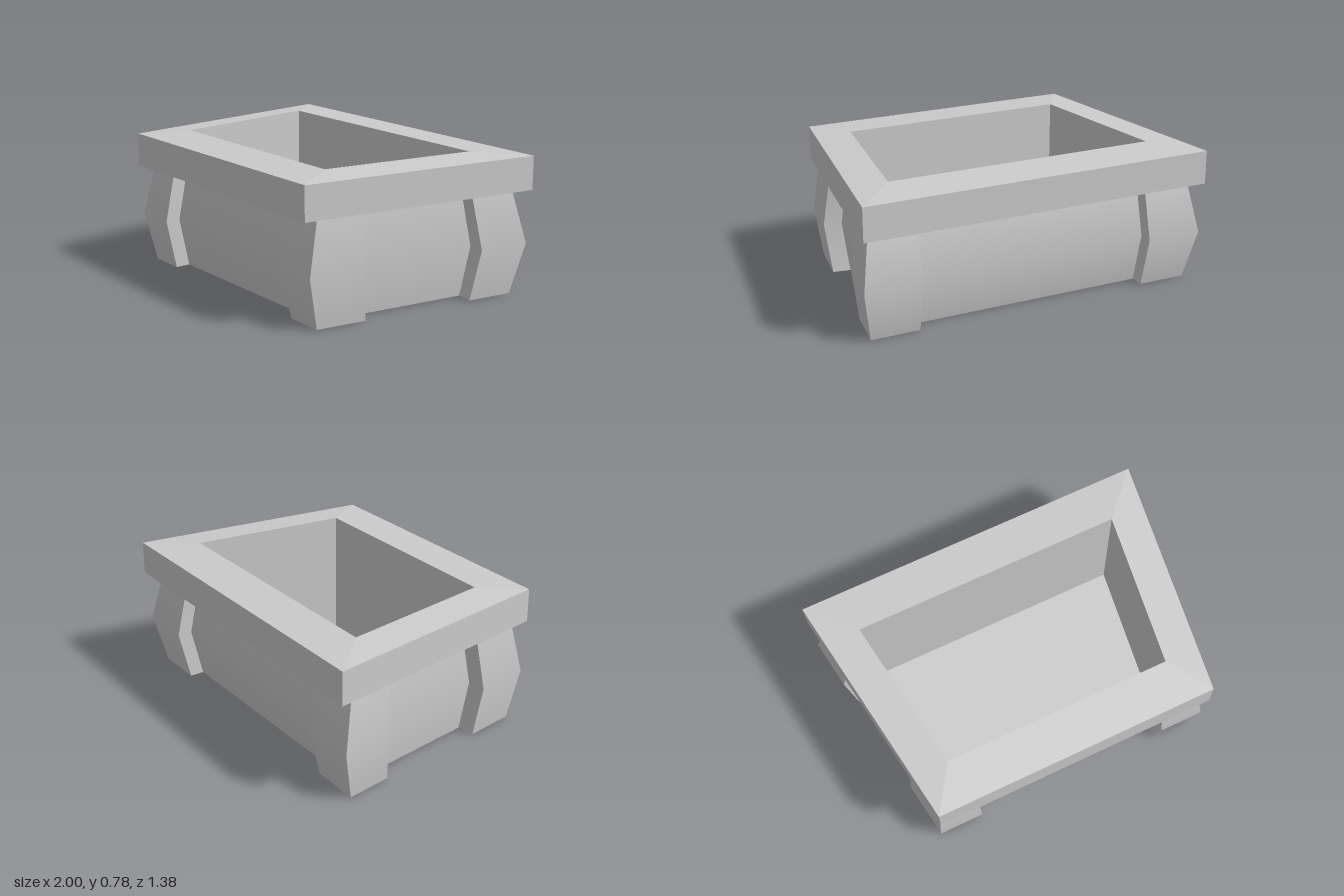
import * as THREE from 'three';
import { toCreasedNormals } from 'three/addons/utils/BufferGeometryUtils.js';

const material = new THREE.MeshStandardMaterial({ color: 0xcccccc });

// Skin a stack of rings, each { y, pts: [[x, z], ...] } running counter-clockwise
// seen from above. Caps fan out from the first point of a ring.
function loft(name, rings, { bottom = false, top = false, crease = 0.7 } = {}) {
  const pos = [];
  const tri = (a, b, c) => pos.push(...a, ...b, ...c);
  const r = rings.map(({ y, pts }) => pts.map(([x, z]) => [x, y, z]));
  const n = r[0].length, last = r[r.length - 1];
  for (let k = 0; k < r.length - 1; k++) {
    for (let i = 0; i < n; i++) {
      const j = (i + 1) % n;
      const [a, b, c, d] = [r[k][i], r[k][j], r[k + 1][j], r[k + 1][i]];
      // Alternate the diagonal so shading stays even across the bulge
      if (k % 2) { tri(a, b, d); tri(b, c, d); } else { tri(a, b, c); tri(a, c, d); }
    }
  }
  for (let i = 1; i < n - 1; i++) {
    if (bottom) tri(r[0][0], r[0][i + 1], r[0][i]);
    if (top) tri(last[0], last[i], last[i + 1]);
  }
  const g = new THREE.BufferGeometry();
  g.setAttribute('position', new THREE.Float32BufferAttribute(pos, 3));
  const mesh = new THREE.Mesh(toCreasedNormals(g, crease), material);
  mesh.name = name;
  return mesh;
}

// Trapezoid ring, wider at the back than at the front
const trap = (y, front, zFront, back, zBack) => ({
  y,
  pts: [[-front, zFront], [front, zFront], [back, zBack], [-back, zBack]],
});

export function createModel() {
  const group = new THREE.Group();
  const TOP = 0.565, MID = 0.283, FLOOR = 0.02, LIP = 0.78;
  const waist = (y) => trap(y, 0.695, 0.512, 0.835, -0.513);
  const opening = (y) => trap(y, 0.642, 0.441, 0.766, -0.438);

  // Bulging outer wall with the underside
  group.add(loft('tub', [
    waist(0),
    trap(MID, 0.72, 0.574, 0.88, -0.576),
    waist(TOP),
  ], { bottom: true }));

  // Heavy rim, slightly sloped on top and underneath
  group.add(loft('rim', [
    waist(TOP),
    trap(0.576, 0.805, 0.6875, 1, -0.6875),
    trap(0.764, 0.805, 0.6875, 1, -0.6875),
    opening(LIP),
  ], { crease: 0.03 }));

  // Straight inner walls and floor
  group.add(loft('inside', [opening(LIP), opening(FLOOR)], { top: true }));

  // L-shaped corner posts, outer corner first: outline at the ends and at the bulge
  const posts = {
    front: {
      end: [[0.782, 0.597], [0.823, 0.315], [0.69, 0.295], [0.665, 0.48], [0.565, 0.48], [0.565, 0.597]],
      mid: [[0.81, 0.66], [0.855, 0.35], [0.71, 0.33], [0.68, 0.53], [0.56, 0.53], [0.56, 0.66]],
    },
    back: {
      end: [[0.945, -0.595], [0.67, -0.595], [0.67, -0.49], [0.8, -0.49], [0.785, -0.353], [0.908, -0.335]],
      mid: [[0.995, -0.66], [0.675, -0.66], [0.675, -0.53], [0.83, -0.53], [0.8, -0.39], [0.955, -0.37]],
    },
  };
  const mirror = (pts) => {
    const [corner, ...rest] = pts.map(([x, z]) => [-x, z]);
    return [corner, ...rest.reverse()];
  };
  for (const [place, { end, mid }] of Object.entries(posts)) {
    for (const side of ['Left', 'Right']) {
      const [e, m] = side === 'Left' ? [end, mid] : [mirror(end), mirror(mid)];
      group.add(loft(place + side + 'Post', [
        { y: 0, pts: e },
        { y: MID, pts: m },
        { y: TOP, pts: e },
      ], { bottom: true, top: true }));
    }
  }
  return group;
}
